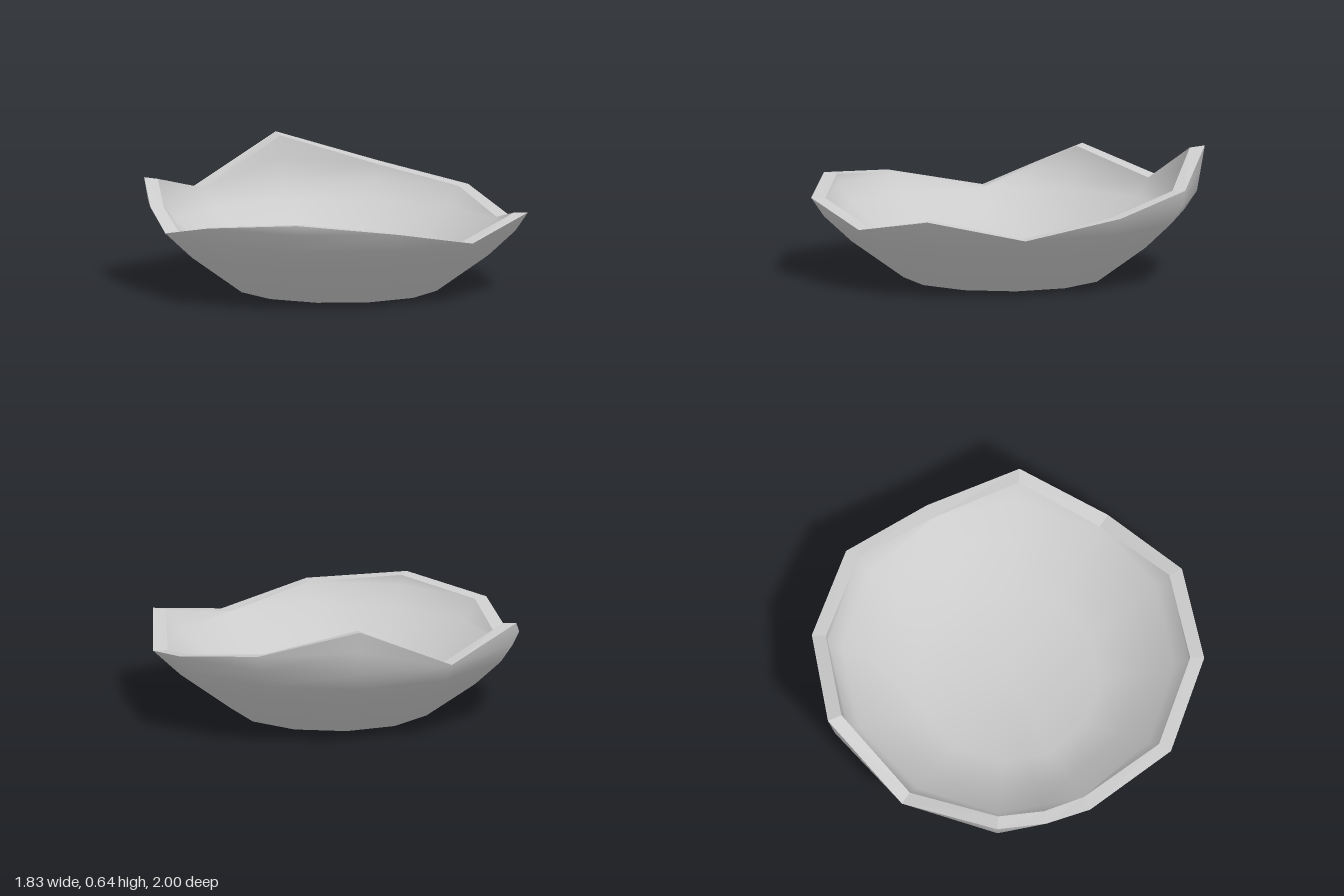
import * as THREE from 'three';
import { mergeVertices } from 'three/addons/utils/BufferGeometryUtils.js';

// Columns around the bowl: [step of 30 degrees from the front, broken rim height]
const COLUMNS = [
  [0, 0.415], [1, 0.32], [2, 0.415], [3, 0.32], [4, 0.415], [5, 0.495], [6, 0.645],
  [7, 0.415], [8, 0.53], [8.5, 0.42], [9, 0.32], [10, 0.415], [11, 0.465],
];
// Wall profiles: [radius, height]
const OUTER = [[0.51, 0], [0.775, 0.19], [0.915, 0.32], [0.98, 0.415], [1.0, 0.53], [1.02, 0.645]];
const INNER = [[0.47, 0.06], [0.68, 0.2], [0.84, 0.32], [0.91, 0.415], [0.93, 0.53], [0.945, 0.645]];
const CENTER_Z = 0.02;

function radiusAt(profile, y) {
  for (let i = 1; i < profile.length; i++) {
    const [r0, y0] = profile[i - 1], [r1, y1] = profile[i];
    if (y <= y1) return r0 + (r1 - r0) * Math.max(0, (y - y0) / (y1 - y0));
  }
  return profile[profile.length - 1][0];
}

// Place a point on a column; half-step columns lie on the flat side of the 12-gon
function place(step, r, y) {
  const a = step * Math.PI / 6;
  const k = step % 1 ? Math.cos(Math.PI / 12) : 1;
  return [Math.sin(a) * r * k, y, Math.cos(a) * r * k + CENTER_Z];
}

// One ring of points at a level, cut off at the broken rim
const ring = (profile, level, rimHeight) => COLUMNS.map(([step, h]) => {
  const y = Math.min(level, rimHeight(h));
  return place(step, radiusAt(profile, y), y);
});
const centre = (y) => COLUMNS.map(() => [0, y, CENTER_Z]);

// Skin consecutive rings, closing around the bowl
function loft(name, rows, flat) {
  const n = COLUMNS.length, index = [];
  for (let i = 0; i < rows.length - 1; i++) {
    for (let j = 0; j < n; j++) {
      const k = (j + 1) % n;
      const a = i * n + j, b = i * n + k, c = b + n, d = a + n;
      index.push(a, b, c, a, c, d);
    }
  }
  let geo = new THREE.BufferGeometry();
  geo.setAttribute('position', new THREE.Float32BufferAttribute(rows.flat(2), 3));
  geo.setIndex(index);
  geo = mergeVertices(geo, 1e-5);
  // Drop triangles collapsed by the rim cut
  const kept = [], ix = geo.index.array;
  for (let t = 0; t < ix.length; t += 3) {
    const [a, b, c] = [ix[t], ix[t + 1], ix[t + 2]];
    if (a !== b && b !== c && c !== a) kept.push(a, b, c);
  }
  geo.setIndex(kept);
  geo.computeVertexNormals();
  const mesh = new THREE.Mesh(geo, new THREE.MeshStandardMaterial({ color: 0xcccccc, flatShading: flat }));
  mesh.name = name;
  return mesh;
}

export function createModel() {
  const group = new THREE.Group();
  group.name = 'brokenBowl';

  const outerRim = (h) => h;
  const innerRim = (h) => h * 0.97 + 0.01;
  const outerRows = OUTER.map(([, y]) => ring(OUTER, y, outerRim));
  const innerRows = INNER.map(([, y]) => ring(INNER, y, innerRim)).reverse();

  group.add(
    loft('base', [centre(0), outerRows[0]], true),
    loft('outerWall', outerRows, false),
    loft('brokenRim', [outerRows[outerRows.length - 1], innerRows[0]], true),
    loft('innerWall', [...innerRows, centre(0.06)], false),
  );
  return group;
}
